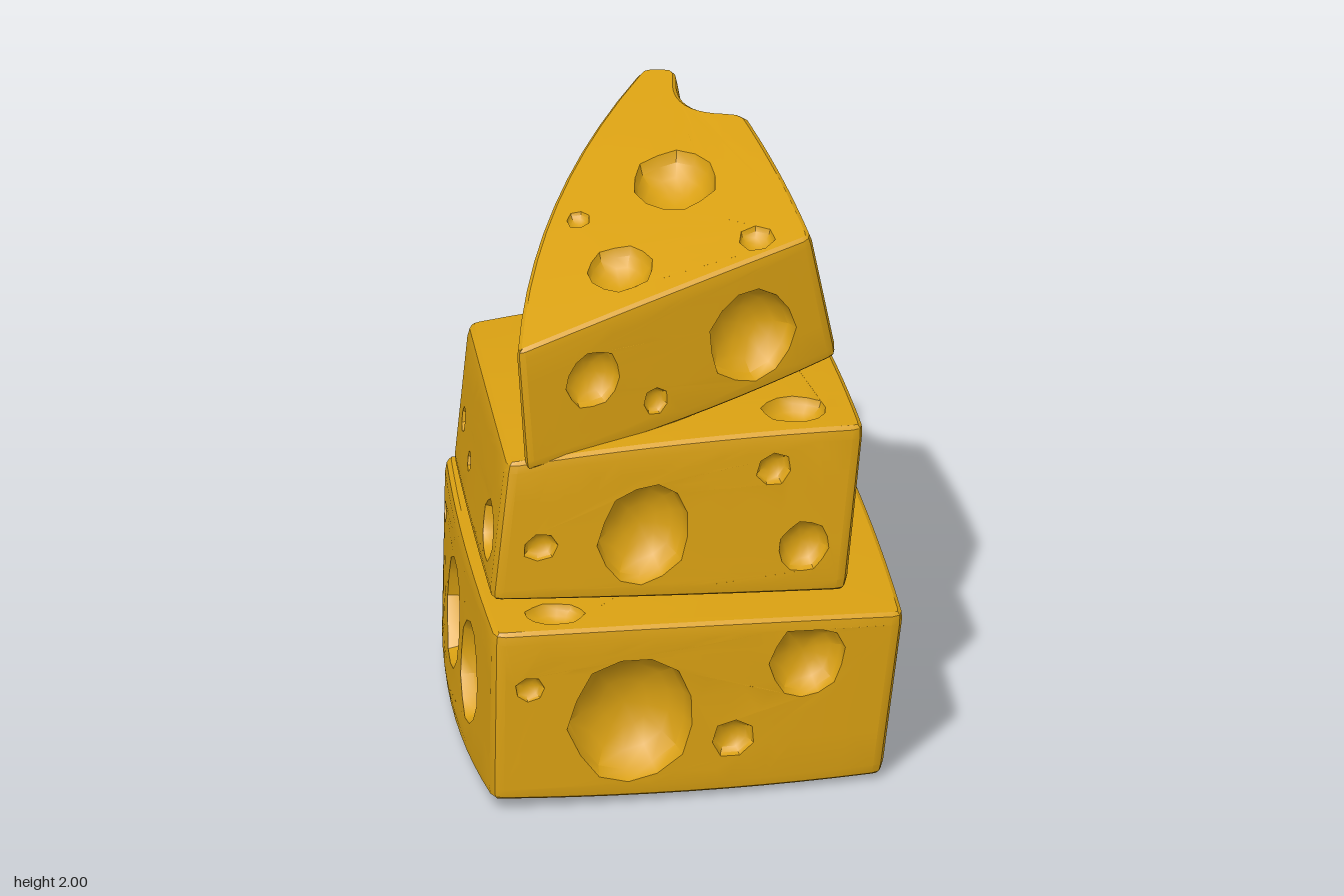
import * as THREE from 'three';
import { toCreasedNormals } from 'three/addons/utils/BufferGeometryUtils.js';

const cheese = new THREE.MeshStandardMaterial({ color: 0xd9a012 });
cheese.name = 'cheese yellow';

const V = (x, y, z) => new THREE.Vector3(x, y, z);
const mix = (a, b, t) => a.clone().lerp(b, t);

// Appends a triangle, turned so that it faces direction n
function tri(list, a, b, c, n) {
  const facing = b.clone().sub(a).cross(c.clone().sub(a)).dot(n) >= 0;
  list.push(a, ...(facing ? [b, c] : [c, b]));
}

// Slightly uneven oval outline of a hole, in the 2D space of its face
function oval(cx, cy, rx, ry, sides) {
  return Array.from({ length: sides }, (_, k) => {
    const a = (k / sides) * Math.PI * 2 + cx;
    const w = 1 + 0.04 * Math.sin(k * 2.7 + cy * 9);
    return new THREE.Vector2(cx + rx * w * Math.cos(a), cy + ry * w * Math.sin(a));
  });
}

// Maps a flat triangle onto its face, halving long edges so that it follows the curve
function drape(list, a, b, c, map, n) {
  const [p, q, s] = [a, b, c].map(map);
  const d = [p.distanceTo(q), q.distanceTo(s), s.distanceTo(p)];
  const longest = Math.max(...d);
  if (longest < 0.18) return tri(list, p, q, s, n);
  const k = d.indexOf(longest);
  const [e, f, g] = [[a, b, c], [b, c, a], [c, a, b]][k];
  const m = mix(e, f, 0.5);
  drape(list, e, m, g, map, n);
  drape(list, m, f, g, map, n);
}

// Face with holes: a pierced sheet plus a rounded bowl behind every hole
function piercedFace(shell, bowls, contour, holes, map, n) {
  const rims = holes.map(h => h.rim);
  const flat = [contour, ...rims].flat();
  for (const [a, b, c] of THREE.ShapeUtils.triangulateShape(contour, rims)) {
    drape(shell, flat[a], flat[b], flat[c], map, n);
  }
  for (const { rim, depth } of holes) {
    const edge = rim.map(map);
    const centre = edge.reduce((s, p) => s.add(p), V(0, 0, 0)).divideScalar(edge.length);
    const rings = 4;
    const at = (k, j) => {
      const f = (j / rings) * Math.PI / 2;
      return mix(centre, edge[k % edge.length], Math.cos(f)).addScaledVector(n, -depth * Math.sin(f));
    };
    for (let j = 0; j < rings; j++) {
      for (let k = 0; k < edge.length; k++) {
        tri(bowls, at(k, j), at(k + 1, j), at(k + 1, j + 1), n);
        if (j < rings - 1) tri(bowls, at(k, j), at(k + 1, j + 1), at(k, j + 1), n);
      }
    }
  }
}

const sidesFor = r => (r > 0.08 ? 13 : 7);
const heightAt = ([a, b, c, k], x, z) => a + b * x + c * z - k * (x * x + z * z);

// Rounded block between two outlines. Each end has corners, the bulge of every edge,
// a surface [a, b, c, k] with height a + bx + cz - k(x²+z²), and holes [x, z, half width, half depth]
function block(name, { top, base, r, sideHoles }) {
  const shell = [], bowls = [];
  const count = top.corners.length, steps = 10;
  const normals = top.corners.map(([x, z], i) => {
    const [x2, z2] = top.corners[(i + 1) % count];
    return V(z - z2, 0, x2 - x).normalize();
  });
  const edgePoint = ({ corners, bulge, surface }, i, u, inset = 0) => {
    const [x, z] = corners[i], [x2, z2] = corners[(i + 1) % count];
    const out = bulge[i] * 4 * u * (1 - u) - inset;
    const px = x + (x2 - x) * u + normals[i].x * out;
    const pz = z + (z2 - z) * u + normals[i].z * out;
    return V(px, heightAt(surface, px, pz), pz);
  };
  const side = (i, u, v) => mix(edgePoint(base, i, u), edgePoint(top, i, u), v);
  const tall = (i, u) => side(i, u, 1).y - side(i, u, 0).y;
  const length = i => side(i, 0, 0.5).distanceTo(side(i, 1, 0.5));
  const end = i => Math.min(r / length(i), 0.3);
  const vEnd = r / tall(0, 0.5);

  // Side levels, soft edges and caps as functions of edge and position
  const low = (i, u) => side(i, u, vEnd);
  const high = (i, u) => side(i, u, 1 - vEnd);
  const capTop = (i, u) => edgePoint(top, i, u, r / 2);
  const capBase = (i, u) => edgePoint(base, i, u, r / 2);
  const soft = (f, v, g) => (i, u) => mix(mix(f(i, u), g(i, u), 0.5), side(i, u, v), 0.5);
  const corner = (f, i) => {
    const j = (i + 1) % count;
    return mix(mix(f(i, 1 - end(i)), f(j, end(j)), 0.5), mix(f(i, 1), f(j, 0), 0.5), 0.4);
  };
  const across = (i, k) => end(i) + (1 - 2 * end(i)) * k / steps;
  const ring = f => {
    const pts = [];
    for (let i = 0; i < count; i++) {
      for (let k = 0; k <= steps; k++) pts.push(f(i, across(i, k)));
      pts.push(corner(f, i));
    }
    return pts;
  };
  const quad = (a, b, c, d) => shell.push(a, b, c, a, c, d);
  const band = (f, g) => {
    const a = ring(f), b = ring(g);
    a.forEach((p, k) => {
      const m = (k + 1) % a.length;
      quad(p, a[m], b[m], b[k]);
    });
  };
  const softBase = soft(low, 0, capBase), softTop = soft(high, 1, capTop);
  band(capBase, softBase);
  band(softBase, low);
  band(high, softTop);
  band(softTop, capTop);

  for (let i = 0; i < count; i++) {
    // Rounded upright corner
    const j = (i + 1) % count, e = end(i);
    const l = corner(low, i), h = corner(high, i);
    quad(low(i, 1 - e), l, h, high(i, 1 - e));
    quad(l, low(j, end(j)), high(j, end(j)), h);

    // Side face; holes are [horizontal place, height, half width, half height]
    const contour = [];
    for (let k = 0; k <= steps; k++) contour.push(new THREE.Vector2(across(i, k), vEnd));
    for (let k = steps; k >= 0; k--) contour.push(new THREE.Vector2(across(i, k), 1 - vEnd));
    const a = side(i, 0, 0.5), b = side(i, 1, 0.5);
    const axis = Math.abs(b.x - a.x) > Math.abs(b.z - a.z) ? 'x' : 'z';
    const holes = (sideHoles[i] || []).map(([place, y, rs, rt]) => {
      const u = (place - a[axis]) / (b[axis] - a[axis]);
      const v = (y - side(i, u, 0).y) / tall(i, u);
      const rim = oval(u, v, rs / length(i), rt / tall(i, u), sidesFor(rs));
      rim.forEach(p => p.set(
        THREE.MathUtils.clamp(p.x, e + 0.006, 1 - e - 0.006),
        THREE.MathUtils.clamp(p.y, vEnd + 0.006, 1 - vEnd - 0.006)));
      return { rim, depth: Math.min(rs, rt) * 0.7 };
    });
    piercedFace(shell, bowls, contour, holes, p => side(i, p.x, p.y), normals[i]);
  }

  // Top and underside
  for (const [f, { surface, holes }, n] of [[capTop, top, V(0, 1, 0)], [capBase, base, V(0, -1, 0)]]) {
    const contour = ring(f).map(p => new THREE.Vector2(p.x, p.z));
    const pits = holes.map(([x, z, rx, rz]) => (
      { rim: oval(x, z, rx, rz, sidesFor(rx)), depth: Math.min(rx, rz) * 0.7 }));
    piercedFace(shell, bowls, contour, pits, p => V(p.x, heightAt(surface, p.x, p.y), p.y), n);
  }

  const group = new THREE.Group();
  group.name = name;
  for (const [part, pts, crease] of [['Body', shell, 0.42], ['Holes', bowls, 0.7]]) {
    const geometry = toCreasedNormals(new THREE.BufferGeometry().setFromPoints(pts), crease);
    const mesh = new THREE.Mesh(geometry, cheese);
    mesh.name = name + part;
    group.add(mesh);
  }
  return group;
}

export function createModel() {
  const model = new THREE.Group();
  model.name = 'cheeseStack';

  // Edges run front, +x side, back, -x side
  model.add(block('bottomBlock', {
    top: {
      corners: [[-0.67, 0.775], [0.73, 0.655], [0.645, -0.615], [-0.69, -0.54]],
      bulge: [0.02, 0.01, 0.005, 0.02], surface: [0.685, -0.04, -0.03, 0.03],
      holes: [[-0.45, 0.64, 0.1, 0.07], [0.54, -0.33, 0.07, 0.08]],
    },
    base: {
      corners: [[-0.675, 0.77], [0.655, 0.66], [0.61, -0.6], [-0.7, -0.53]],
      bulge: [0.02, 0.01, 0.005, 0.045], surface: [0.002, -0.015, 0, -0.03],
      holes: [[-0.21, 0.28, 0.09, 0.09], [0.18, -0.13, 0.1, 0.08]],
    },
    r: 0.04,
    sideHoles: [
      [[-0.2, 0.31, 0.215, 0.23], [0.38, 0.475, 0.125, 0.135], [0.15, 0.21, 0.075, 0.07], [-0.55, 0.45, 0.05, 0.045]],
      [[-0.05, 0.4, 0.12, 0.12], [0.26, 0.2, 0.075, 0.075], [-0.34, 0.18, 0.07, 0.065]],
      [[0.27, 0.3, 0.19, 0.19], [-0.25, 0.34, 0.19, 0.19], [-0.55, 0.45, 0.07, 0.07]],
      [[-0.04, 0.36, 0.18, 0.19], [0.36, 0.33, 0.16, 0.18], [-0.44, 0.54, 0.035, 0.04]],
    ],
  }));

  model.add(block('middleBlock', {
    top: {
      corners: [[-0.61, 0.625], [0.61, 0.535], [0.49, -0.6], [-0.62, -0.48]],
      bulge: [0.01, 0.01, 0.01, 0.005], surface: [1.277, 0.025, 0, 0.06],
      holes: [[0.385, 0.4, 0.11, 0.09], [0.37, -0.4, 0.07, 0.07]],
    },
    base: {
      corners: [[-0.665, 0.645], [0.545, 0.57], [0.49, -0.575], [-0.67, -0.47]],
      bulge: [0.01, 0.01, 0.01, 0.005], surface: [0.69, -0.05, 0, 0], holes: [],
    },
    r: 0.04,
    sideHoles: [
      [[-0.14, 0.93, 0.155, 0.18], [0.28, 1.13, 0.06, 0.06], [0.41, 0.84, 0.085, 0.09], [-0.49, 0.91, 0.06, 0.05]],
      [[0.03, 1.01, 0.19, 0.15], [-0.4, 0.99, 0.05, 0.05], [-0.27, 0.72, 0.12, 0.045]],
      [[-0.14, 0.96, 0.27, 0.17]],
      [[-0.32, 0.94, 0.04, 0.045], [-0.1, 0.89, 0.035, 0.035], [0.43, 0.89, 0.11, 0.1]],
    ],
  }));

  // Wedge edges: front, +x side, scooped bite, narrow tip, curved -x side
  model.add(block('topWedge', {
    top: {
      corners: [[-0.58, 0.64], [0.46, 0.275], [0.31, -0.445], [0.12, -0.74], [0, -0.775]],
      bulge: [0.01, 0.01, -0.1, 0.01, 0.09], surface: [1.86, 0.11, -0.204, 0.04],
      holes: [[0.04, -0.12, 0.14, 0.16], [-0.19, 0.3, 0.11, 0.115], [0.275, 0.245, 0.062, 0.065], [-0.3, 0.01, 0.04, 0.045]],
    },
    base: {
      corners: [[-0.55, 0.645], [0.55, 0.25], [0.425, -0.49], [0.21, -0.73], [0.03, -0.785]],
      bulge: [0.01, 0.01, -0.07, 0.015, 0.095], surface: [1.265, 0.183, -0.022, -0.07], holes: [],
    },
    r: 0.035,
    sideHoles: [
      [[-0.31, 1.49, 0.1, 0.1], [0.24, 1.53, 0.16, 0.165], [-0.11, 1.365, 0.045, 0.05]],
      [[-0.12, 1.74, 0.165, 0.095], [0.1, 1.52, 0.065, 0.06]],
      [], [],
      [[-0.34, 1.55, 0.07, 0.07], [0.04, 1.47, 0.06, 0.065], [0.42, 1.33, 0.07, 0.07]],
    ],
  }));
  return model;
}
